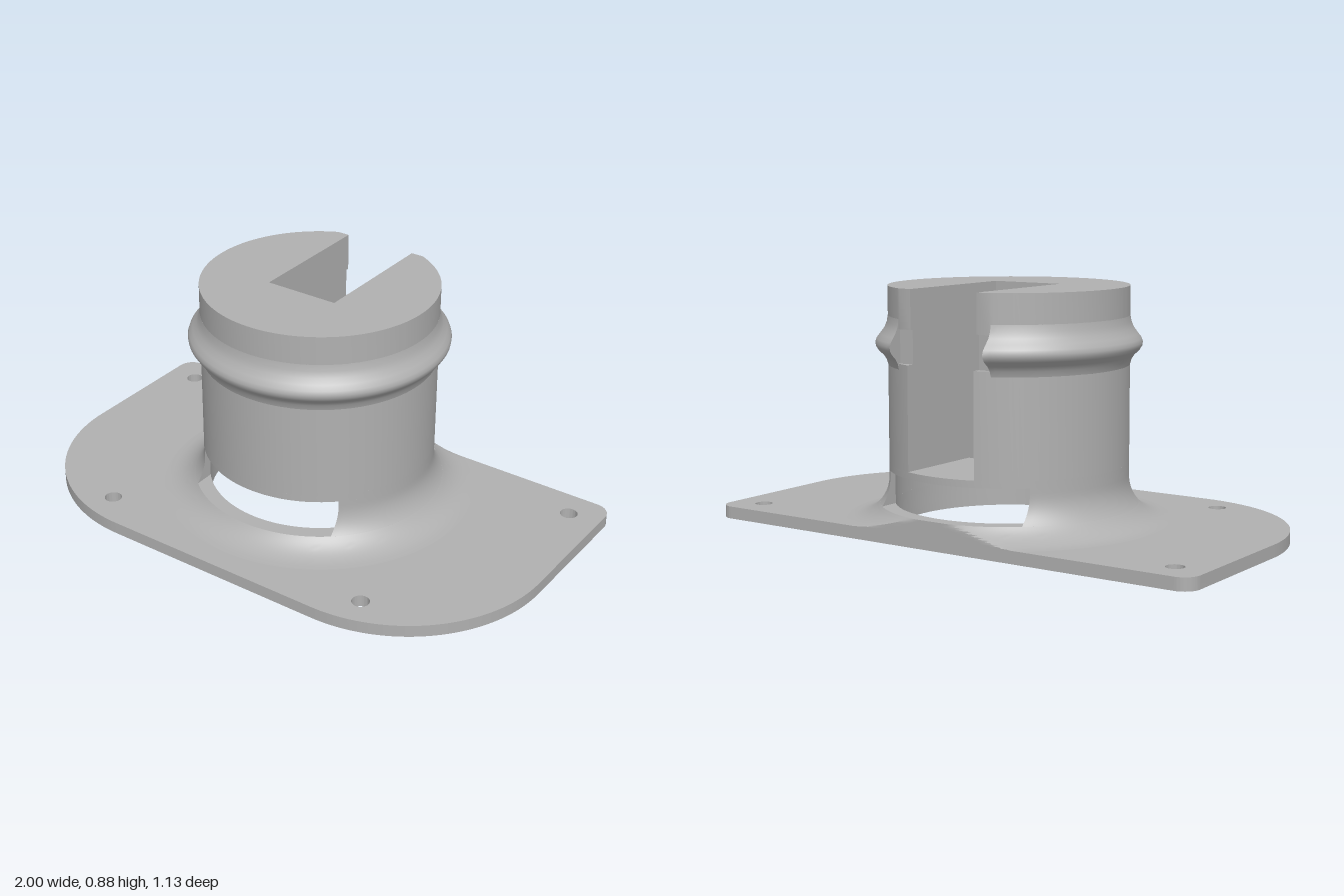
import * as THREE from 'three';
import { toCreasedNormals } from 'three/addons/utils/BufferGeometryUtils.js';

const R = 0.43;      // body radius
const BORE = 0.41;   // opening through the base
const CZ = -0.105;   // z of the body axis
const BACK = -0.565; // rear edge of the plate

// Upright prism; shape y points to -z
function prism(shape, y0, y1, z) {
  const geo = new THREE.ExtrudeGeometry(shape, { depth: y1 - y0, bevelEnabled: false, curveSegments: 64 });
  geo.rotateX(-Math.PI / 2).translate(0, y0, z);
  return toCreasedNormals(geo, 0.5);
}

// Sweep a closed (radius, height) loop around the body axis.
// halfAngle(r) sets where each loop point stops, so ends can be flat cuts.
function sweep(loop, centreAngle, halfAngle, segments, closed = false) {
  const pos = [], index = [], n = loop.length;
  for (let i = 0; i <= segments; i++) {
    for (const p of loop) {
      const a = centreAngle + (i / segments * 2 - 1) * halfAngle(p.x);
      pos.push(p.x * Math.sin(a), p.y, Math.max(BACK, CZ + p.x * Math.cos(a)));
    }
  }
  for (let i = 0; i < segments; i++) {
    for (let j = 0; j < n; j++) {
      const k = (j + 1) % n;
      const a = i * n + j, b = a + n, c = (i + 1) * n + k, d = i * n + k;
      index.push(a, b, c, a, c, d);
    }
  }
  if (!closed) {
    const last = segments * n;
    for (const [a, b, c] of THREE.ShapeUtils.triangulateShape(loop, [])) {
      index.push(a, b, c, last + a, last + c, last + b);
    }
  }
  const geo = new THREE.BufferGeometry();
  geo.setAttribute('position', new THREE.Float32BufferAttribute(pos, 3));
  geo.setIndex(index);
  return toCreasedNormals(geo, 0.6);
}

// Concave flare between the plate and the body
const flareRadius = y => y >= 0.2 ? R : 0.585 - Math.sqrt(Math.max(0, 0.155 ** 2 - (0.2 - y) ** 2));

function flareLoop(y0, y1, steps) {
  const loop = [new THREE.Vector2(BORE, y1), new THREE.Vector2(BORE, y0)];
  for (let i = 0; i <= steps; i++) {
    const y = y0 + (y1 - y0) * (i / steps) ** 1.5;
    loop.push(new THREE.Vector2(flareRadius(y), y));
  }
  return loop;
}

// Disc with a slot open to the back; the rim is cut flat at distance b behind the axis
function slottedDisc(b) {
  const w = Math.asin(Math.sqrt(R * R - b * b) / R);
  const s = new THREE.Shape();
  s.absarc(0, 0, R, Math.PI / 2 + w, Math.PI * 2.5 - w, false);
  s.lineTo(0.14, b);
  s.lineTo(0.14, -0.115);
  s.lineTo(-0.14, -0.115);
  s.lineTo(-0.14, b);
  s.closePath();
  return s;
}

function circleHole(x, y, r) {
  return new THREE.Path().absarc(x, y, r, 0, Math.PI * 2, true);
}

export function createModel() {
  const model = new THREE.Group();
  const grey = new THREE.MeshStandardMaterial({ color: 0xb0b0b0 });
  grey.name = 'grey';
  const add = (name, geo) => {
    const mesh = new THREE.Mesh(geo, grey);
    mesh.name = name;
    model.add(mesh);
  };

  // Mounting plate: small rear corners, large front corners, four screw holes
  const h = 0.565, big = 0.565, small = 0.06;
  const plate = new THREE.Shape();
  plate.absarc(1 - big, -h + big, big, -Math.PI / 2, 0, false);
  plate.absarc(1 - small, h - small, small, 0, Math.PI / 2, false);
  plate.absarc(-1 + small, h - small, small, Math.PI / 2, Math.PI, false);
  plate.absarc(-1 + big, -h + big, big, Math.PI, Math.PI * 1.5, false);
  plate.closePath();
  plate.holes.push(circleHole(0, -CZ, BORE));
  for (const s of [-1, 1]) {
    plate.holes.push(circleHole(s * 0.88, 0.45, 0.032), circleHole(s * 0.555, -0.44, 0.032));
  }
  add('mountingPlate', prism(plate, 0, 0.045, 0));

  // Flared collar below the windows, trimmed flush with the rear edge
  add('flaredCollar', sweep(flareLoop(0.045, 0.102, 10), 0, () => Math.PI, 128, true));

  // Side walls left standing between the front and rear windows
  for (const [name, s] of [['leftWall', 1], ['rightWall', -1]]) {
    add(name, sweep(flareLoop(0.102, 0.225, 10), s * Math.PI / 2, r => Math.acos(0.3 / r), 32));
  }

  // Floor of the slot with its rectangular opening
  const floor = new THREE.Shape().absarc(0, 0, R, 0, Math.PI * 2, false);
  floor.holes.push(new THREE.Path([[-0.14, -0.115], [-0.14, 0.055], [0.14, 0.055], [0.14, -0.115]]
    .map(p => new THREE.Vector2(...p))));
  add('slotFloor', prism(floor, 0.225, 0.25, CZ));

  // Slotted body: full rim below, rim cut back beside the slot above
  add('lowerBody', prism(slottedDisc(Math.sqrt(R * R - 0.14 * 0.14)), 0.25, 0.62, CZ));
  add('notchedBody', prism(slottedDisc(0.375), 0.62, 0.74, CZ));
  add('upperBody', prism(slottedDisc(0.387), 0.74, 0.88, CZ));

  // Retaining bead around the body, open at the slot
  const bead = [[0.415, 0.78], [0.415, 0.59], [0.43, 0.6], [0.436, 0.62], [0.447, 0.637], [0.464, 0.653],
    [0.473, 0.667], [0.475, 0.68], [0.47, 0.694], [0.457, 0.711], [0.443, 0.73], [0.434, 0.752], [0.43, 0.775]]
    .map(p => new THREE.Vector2(...p));
  add('retainingBead', sweep(bead, 0, r => Math.PI - Math.asin(0.195 / r), 112));

  return model;
}
